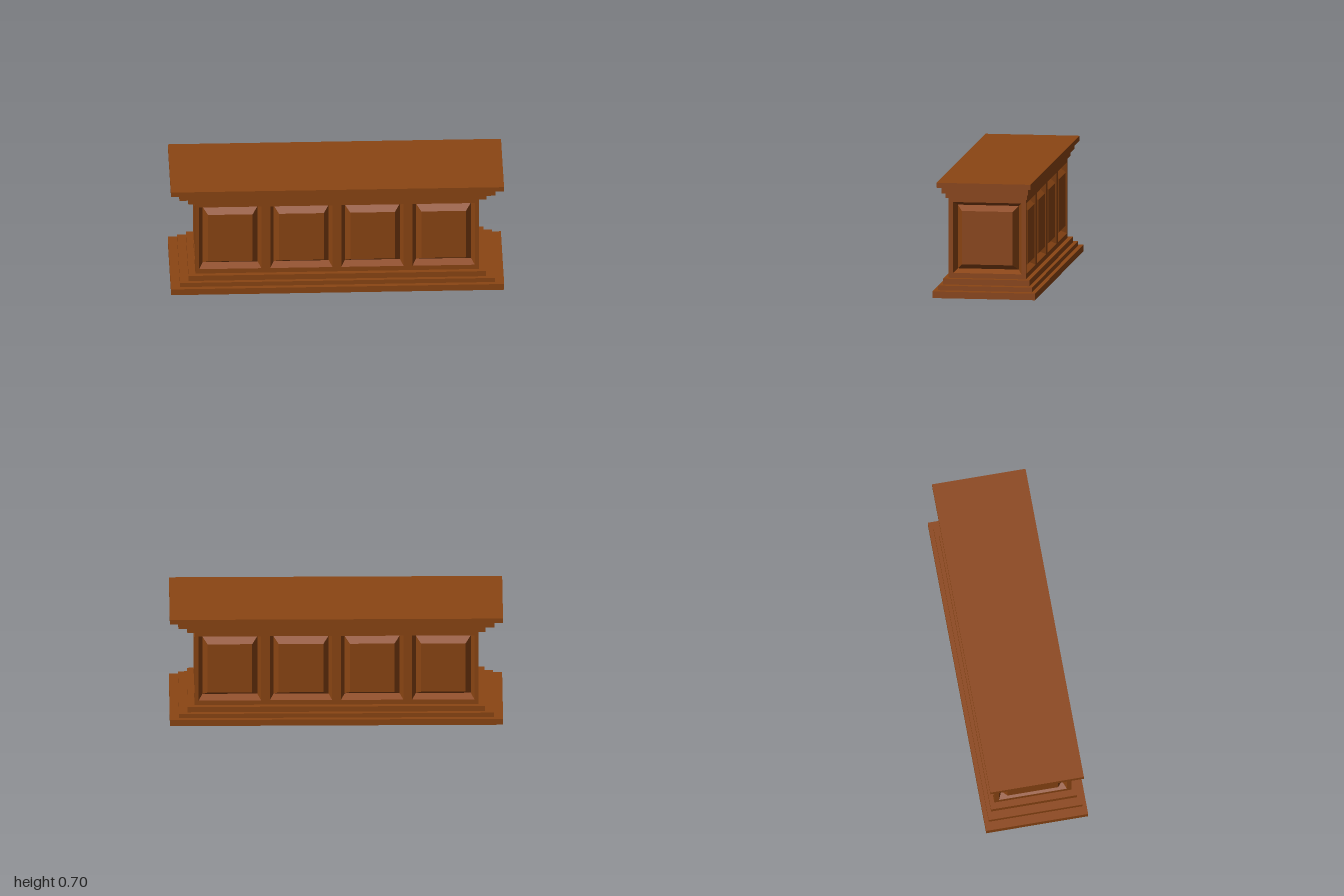
import * as THREE from 'three';

const wood = new THREE.MeshStandardMaterial({ color: 0x8b4513 });
wood.name = 'brownWood';

const BOTTOM = 0.103, TOP = 0.593;      // body between plinth and cornice
const HALF_X = 0.852, HALF_Z = 0.235;
const PANEL_Y = 0.348, PANEL_H = 0.215; // panel centre and half height

function add(parent, geometry, name) {
  const mesh = new THREE.Mesh(geometry, wood);
  mesh.name = name;
  parent.add(mesh);
  return mesh;
}

// Raised panel: bevel sinks to a groove, then rises to a flush field
function panelGeometry(halfW, halfH) {
  const loops = [[0, 0], [0.022, -0.045], [0.053, 0]].map(([inset, z]) => {
    const w = halfW - inset, h = halfH - inset;
    return [[-w, -h, z], [w, -h, z], [w, h, z], [-w, h, z]];
  });
  const pos = [];
  const quad = (a, b, c, d) => pos.push(...a, ...b, ...c, ...a, ...c, ...d);
  for (let i = 0; i < 2; i++) {
    for (let k = 0; k < 4; k++) {
      const n = (k + 1) % 4;
      quad(loops[i][k], loops[i][n], loops[i + 1][n], loops[i + 1][k]);
    }
  }
  quad(...loops[2]);
  const g = new THREE.BufferGeometry();
  g.setAttribute('position', new THREE.Float32BufferAttribute(pos, 3));
  g.computeVertexNormals();
  return g;
}

// One wall facing +z: a frame with openings, each filled with a raised panel
function makeWall(name, halfWidth, centres, panelHalfW) {
  const wall = new THREE.Group();
  wall.name = name;
  const frame = new THREE.Shape([
    new THREE.Vector2(-halfWidth, BOTTOM), new THREE.Vector2(halfWidth, BOTTOM),
    new THREE.Vector2(halfWidth, TOP), new THREE.Vector2(-halfWidth, TOP),
  ]);
  for (const c of centres) {
    frame.holes.push(new THREE.Path([
      new THREE.Vector2(c - panelHalfW, PANEL_Y - PANEL_H),
      new THREE.Vector2(c - panelHalfW, PANEL_Y + PANEL_H),
      new THREE.Vector2(c + panelHalfW, PANEL_Y + PANEL_H),
      new THREE.Vector2(c + panelHalfW, PANEL_Y - PANEL_H),
    ]));
    add(wall, panelGeometry(panelHalfW, PANEL_H), 'raisedPanel').position.set(c, PANEL_Y, 0);
  }
  add(wall, new THREE.ShapeGeometry(frame), 'wallFrame');
  return wall;
}

export function createModel() {
  const model = new THREE.Group();
  model.name = 'panelledCounter';

  // Stepped plinth and cornice: [name, halfX, halfZ, y0, y1]
  const slabs = [
    ['plinthBase', 1, 0.311, 0, 0.04],
    ['plinthMiddleStep', 0.945, 0.285, 0.04, 0.068],
    ['plinthTopStep', 0.893, 0.262, 0.068, BOTTOM],
    ['corniceLowerStep', 0.895, 0.247, TOP, 0.628],
    ['corniceUpperStep', 0.949, 0.262, 0.628, 0.67],
    ['countertop', 1, 0.285, 0.67, 0.7],
  ];
  for (const [name, hx, hz, y0, y1] of slabs) {
    add(model, new THREE.BoxGeometry(hx * 2, y1 - y0, hz * 2), name).position.y = (y0 + y1) / 2;
  }

  // Long walls with four panels, end walls with one
  const centres = [-0.642, -0.215, 0.212, 0.639];
  for (const [i, side] of ['front', 'back'].entries()) {
    const wall = makeWall(side + 'Wall', HALF_X, i ? centres.map((c) => -c) : centres, 0.187);
    wall.rotation.y = i * Math.PI;
    wall.position.z = i ? -HALF_Z : HALF_Z;
    model.add(wall);
  }
  for (const [side, s] of [['left', 1], ['right', -1]]) {
    const wall = makeWall(side + 'EndWall', HALF_Z, [0], 0.207);
    wall.rotation.y = s * Math.PI / 2;
    wall.position.x = s * HALF_X;
    model.add(wall);
  }
  return model;
}
